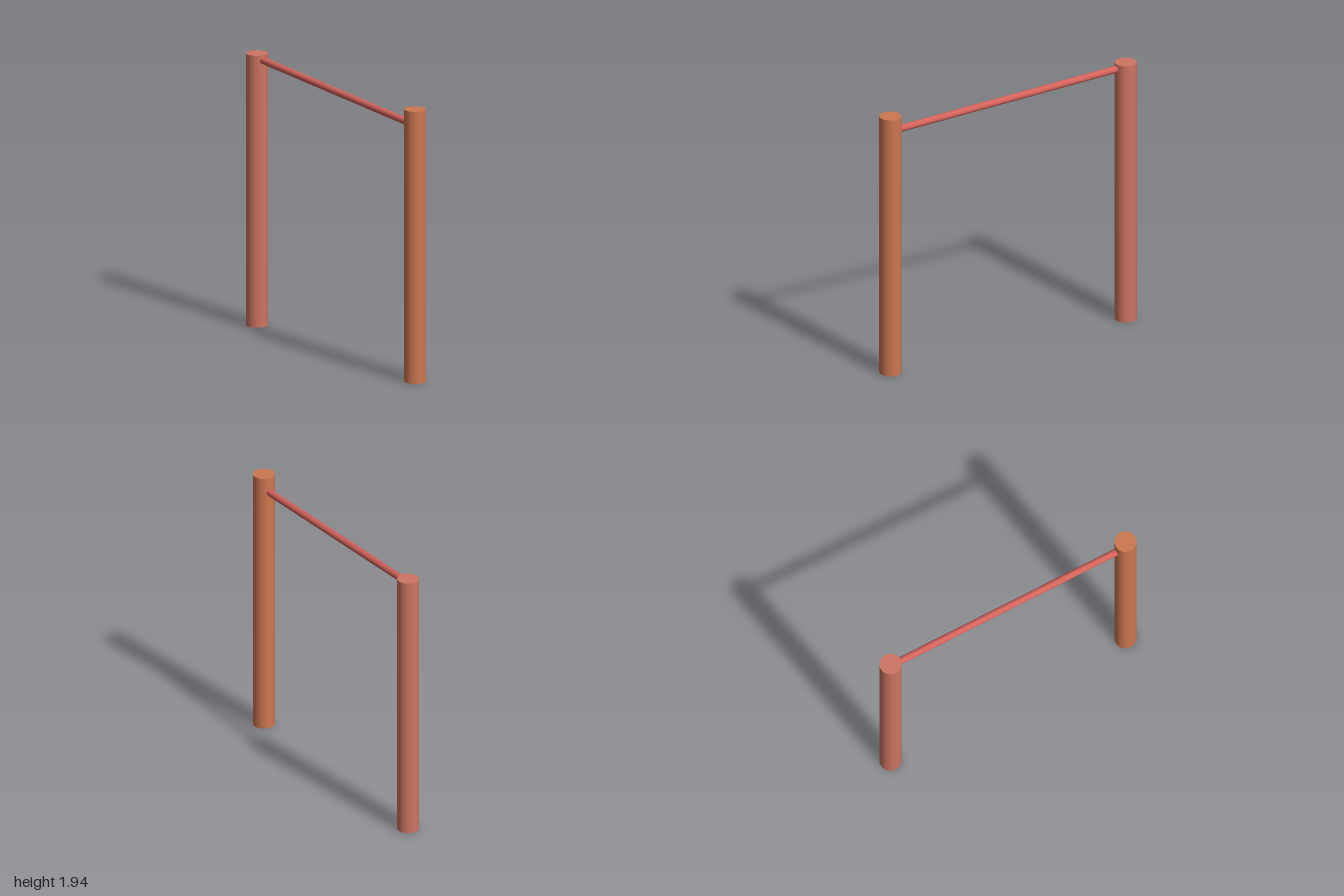
import * as THREE from 'three';

const POST_RADIUS = 0.076, POST_HEIGHT = 1.936, POST_X = 1 - POST_RADIUS;
const BAR_RADIUS = 0.025;

// Solid round rod running between two points
function rod(name, from, to, radius, color) {
  const axis = to.clone().sub(from);
  const mesh = new THREE.Mesh(
    new THREE.CylinderGeometry(radius, radius, axis.length(), 48),
    new THREE.MeshStandardMaterial({ color })
  );
  mesh.name = name;
  mesh.position.copy(from).add(to).multiplyScalar(0.5);
  mesh.quaternion.setFromUnitVectors(new THREE.Vector3(0, 1, 0), axis.normalize());
  return mesh;
}

export function createModel() {
  const group = new THREE.Group();
  group.name = 'postsWithCrossbar';

  // Upright posts
  for (const [name, x, color] of [['rightPost', -POST_X, 0xcd7462], ['leftPost', POST_X, 0xcd7750]]) {
    group.add(rod(name, new THREE.Vector3(x, 0, 0), new THREE.Vector3(x, POST_HEIGHT, 0), POST_RADIUS, color));
  }

  // Crossbar, sloping down towards the left post
  group.add(rod('crossbar',
    new THREE.Vector3(-POST_X, 1.902, 0), new THREE.Vector3(POST_X, 1.821, 0), BAR_RADIUS, 0xd4635b));

  return group;
}
